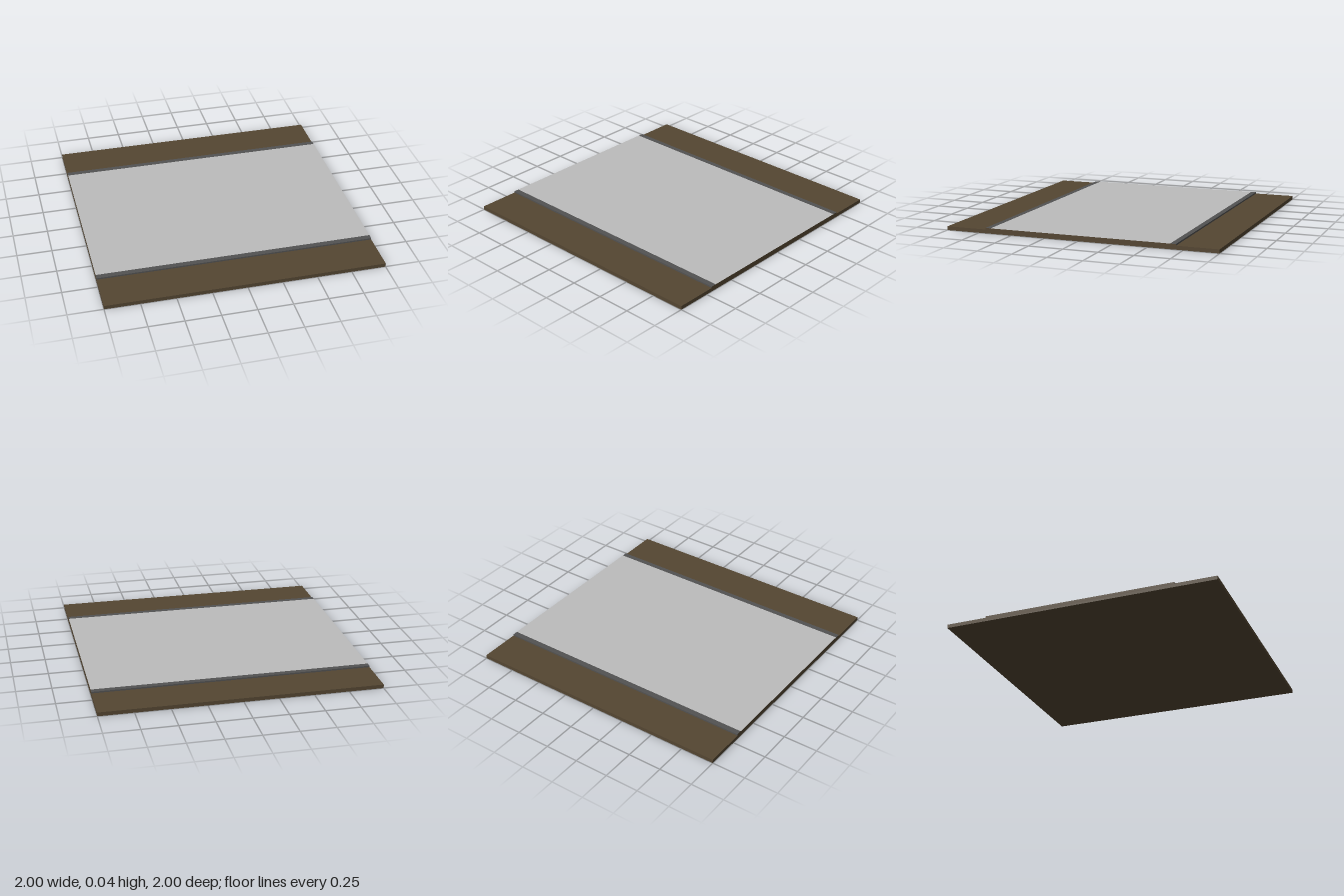
import * as THREE from 'three';

const flat = (name, color) => new THREE.MeshStandardMaterial({ name, color });

export function createModel() {
  const earth = flat('earth brown', 0x544632);
  const asphalt = flat('light grey paving', 0xbcbcbc);
  const kerb = flat('dark grey kerb', 0x525252);

  const group = new THREE.Group();
  group.name = 'roadTile';

  const BASE = 0.027, TOP = 0.038, EDGE = 0.7, INNER = 0.66;

  // Slab spanning the full width between two heights and two depths
  const slab = (name, y0, y1, z0, z1, material) => {
    const mesh = new THREE.Mesh(new THREE.BoxGeometry(2, y1 - y0, z1 - z0), material);
    mesh.position.set(0, (y0 + y1) / 2, (z0 + z1) / 2);
    mesh.name = name;
    group.add(mesh);
  };

  // The raised layer shows bare earth where the tile is cut at both ends
  const cutEnds = (m) => [earth, earth, m, earth, m, m];

  // Ground with open verges at front and back
  slab('ground', 0, BASE, -1, 1, earth);

  // Raised road surface
  slab('roadSurface', BASE, TOP, -INNER, INNER, cutEnds(asphalt));

  // Kerbs along both edges
  slab('frontKerb', BASE, TOP, INNER, EDGE, cutEnds(kerb));
  slab('backKerb', BASE, TOP, -EDGE, -INNER, cutEnds(kerb));

  return group;
}
